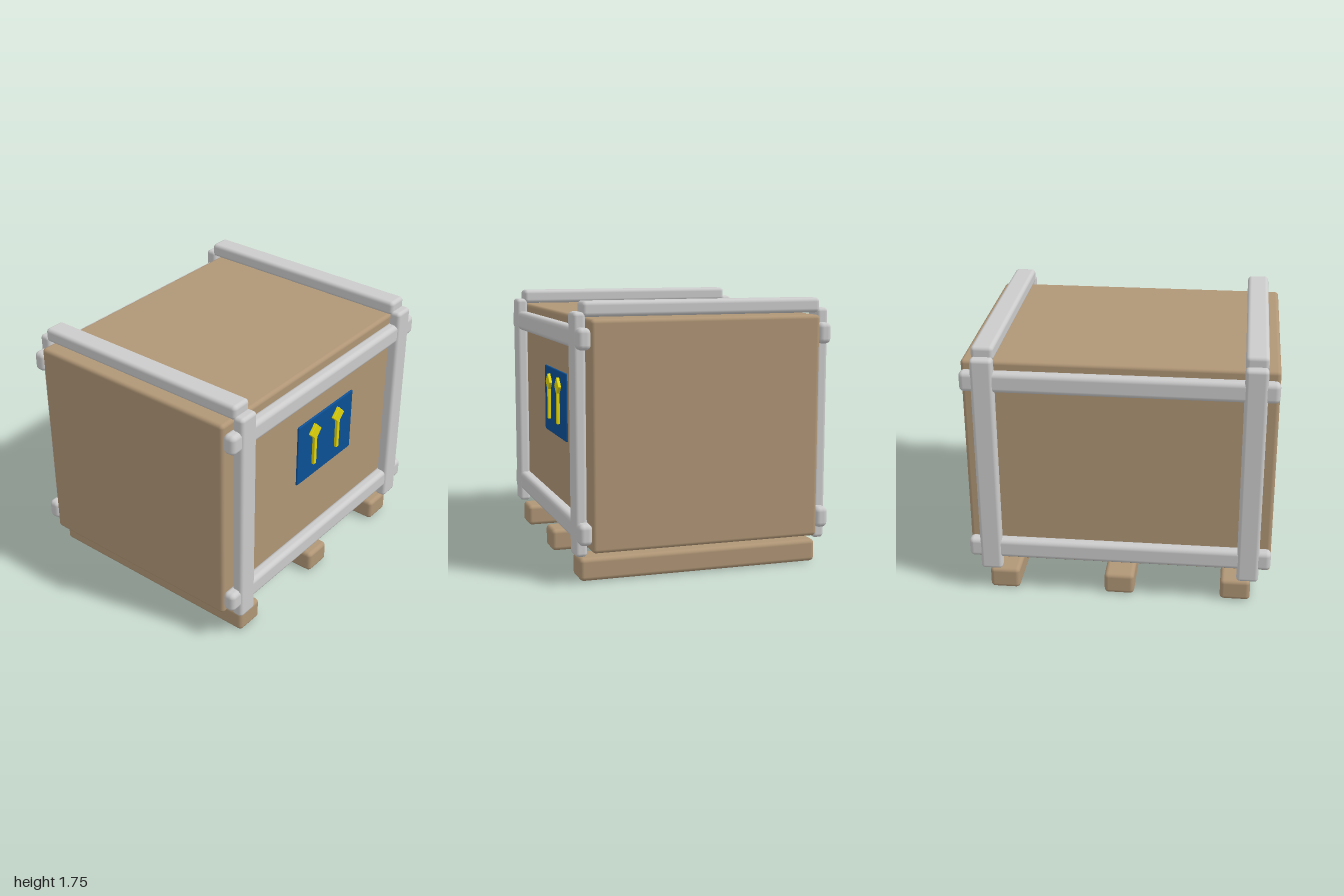
import * as THREE from 'three';
import { RoundedBoxGeometry } from 'three/addons/geometries/RoundedBoxGeometry.js';

const material = (color) => new THREE.MeshStandardMaterial({ color });

export function createModel() {
  const crate = new THREE.Group();
  crate.name = 'crate';
  const wood = material(0xb09676);
  const metal = material(0xcccccc);
  const blue = material(0x0c5095);
  const yellow = material(0xe2d60a);

  // Rounded block from its size and centre
  function block(name, mat, [w, h, d], [x, y, z], radius, parent = crate) {
    const mesh = new THREE.Mesh(new RoundedBoxGeometry(w, h, d, 3, radius), mat);
    mesh.name = name;
    mesh.position.set(x, y, z);
    parent.add(mesh);
    return mesh;
  }

  // Main box
  block('box', wood, [2, 1.435, 1.5], [0, 0.928, 0], 0.025);

  // Three skids underneath
  for (const x of [-0.775, 0, 0.775]) {
    block('skid', wood, [0.2, 0.148, 1.6], [x, 0.078, 0], 0.028);
  }

  // Frame: posts and rails on the front and back
  for (const side of [1, -1]) {
    for (const x of [-0.852, 0.852]) {
      block('post', metal, [0.144, 1.51, 0.078], [x, 0.93, side * 0.802], 0.024);
    }
    for (const y of [0.328, 1.527]) {
      block('rail', metal, [2, 0.135, 0.085], [0, y, side * 0.79], 0.032);
    }
  }

  // Bars across the top
  for (const x of [-0.852, 0.852]) {
    block('topBar', metal, [0.144, 0.095, 1.565], [x, 1.702, 0], 0.026);
  }

  // Label plate with two upright arrows
  block('label', blue, [0.615, 0.45, 0.02], [0.073, 1.03, 0.752], 0.007);
  for (const x of [-0.065, 0.197]) {
    const arrow = new THREE.Group();
    arrow.name = 'arrow';
    arrow.position.set(x, 0, 0.768);
    block('arrowStem', yellow, [0.028, 0.22, 0.028], [0, 1.01, 0], 0.003, arrow);
    const head = block('arrowHead', yellow, [0.086, 0.086, 0.028], [0, 1.153, 0], 0.004, arrow);
    head.rotation.z = Math.PI / 4;
    crate.add(arrow);
  }

  return crate;
}
